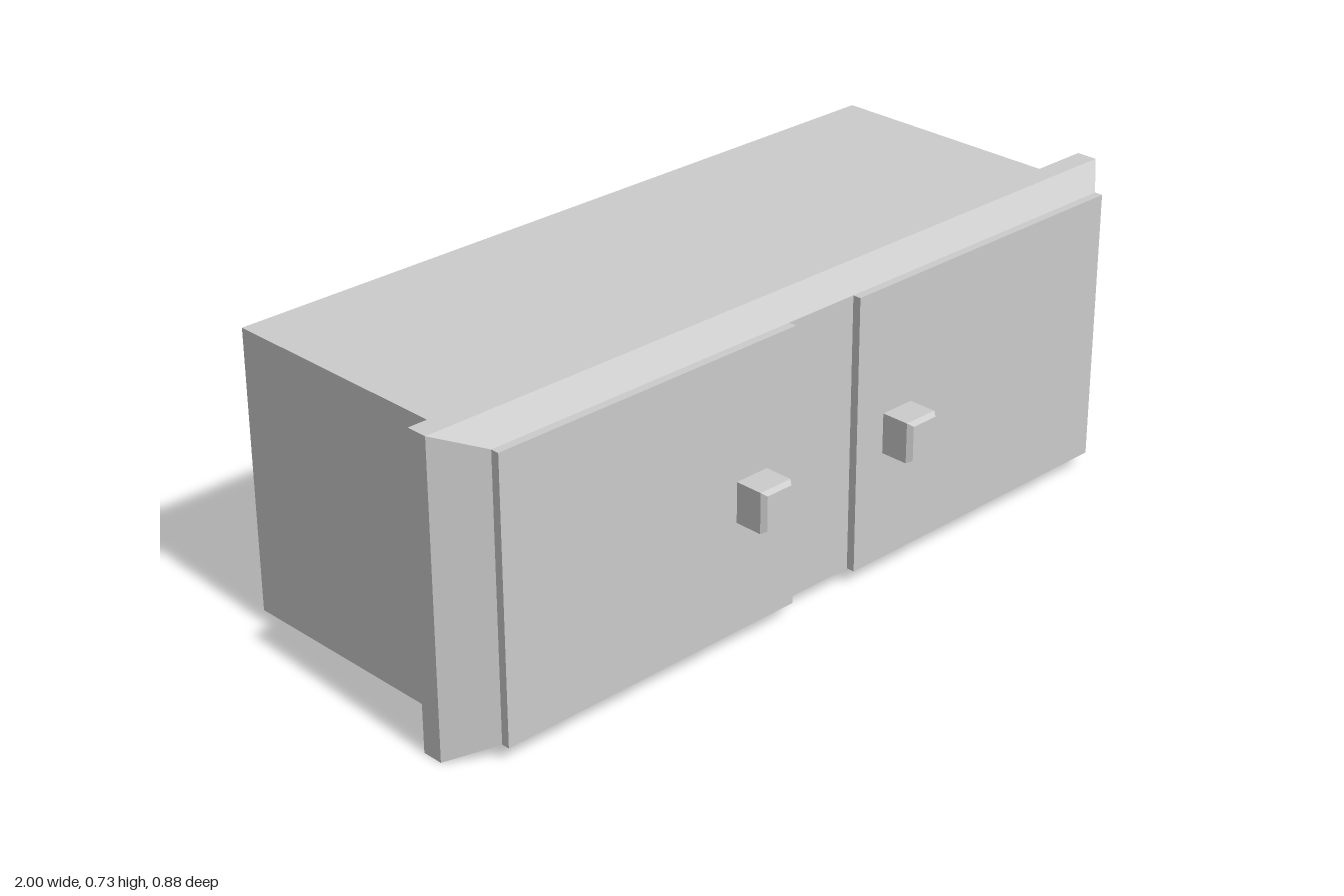
import * as THREE from 'three';

const material = new THREE.MeshStandardMaterial({ color: 0xcccccc, flatShading: true });

// Closed solid through rectangular sections [z, halfWidth, bottom, top], ordered back to front
function loft(name, sections) {
  const rings = sections.map(([z, w, y0, y1]) => [[-w, y0, z], [w, y0, z], [w, y1, z], [-w, y1, z]]);
  const pos = [];
  const quad = (a, b, c, d) => pos.push(...a, ...b, ...c, ...a, ...c, ...d);
  for (let i = 0; i < rings.length - 1; i++) {
    const r = rings[i], s = rings[i + 1];
    for (let k = 0; k < 4; k++) {
      const n = (k + 1) % 4;
      quad(r[k], r[n], s[n], s[k]);
    }
  }
  const b = rings[0], f = rings[rings.length - 1];
  quad(b[3], b[2], b[1], b[0]);
  quad(f[0], f[1], f[2], f[3]);
  const geometry = new THREE.BufferGeometry();
  geometry.setAttribute('position', new THREE.Float32BufferAttribute(pos, 3));
  geometry.computeVertexNormals();
  const mesh = new THREE.Mesh(geometry, material);
  mesh.name = name;
  return mesh;
}

export function createModel() {
  const group = new THREE.Group();
  group.name = 'wallCabinet';

  const cabinet = new THREE.Group();
  cabinet.name = 'cabinet';
  cabinet.position.x = -0.004;
  cabinet.rotation.y = 0.015; // hangs slightly askew
  group.add(cabinet);

  // Carcass and bevelled front frame
  cabinet.add(loft('body', [[-0.429, 0.917, 0.03, 0.697], [0.167, 0.917, 0.03, 0.697]]));
  cabinet.add(loft('frontFrame', [
    [0.167, 0.917, 0.03, 0.697],
    [0.205, 1.0, 0, 0.726],
    [0.256, 1.0, 0, 0.726],
    [0.333, 0.905, 0.035, 0.692],
  ]));

  // A thin door with a chamfered knob on each side
  for (const [side, s] of [['left', 1], ['right', -1]]) {
    const door = loft(side + 'Door', [[0.325, 0.404, 0.035, 0.692], [0.353, 0.404, 0.035, 0.692]]);
    door.position.x = s * 0.501;
    const knob = loft(side + 'Knob', [
      [0.34, 0.044, 0.297, 0.393],
      [0.421, 0.044, 0.297, 0.393],
      [0.433, 0.035, 0.304, 0.386],
    ]);
    knob.position.x = s * 0.224;
    cabinet.add(door, knob);
  }
  return group;
}
